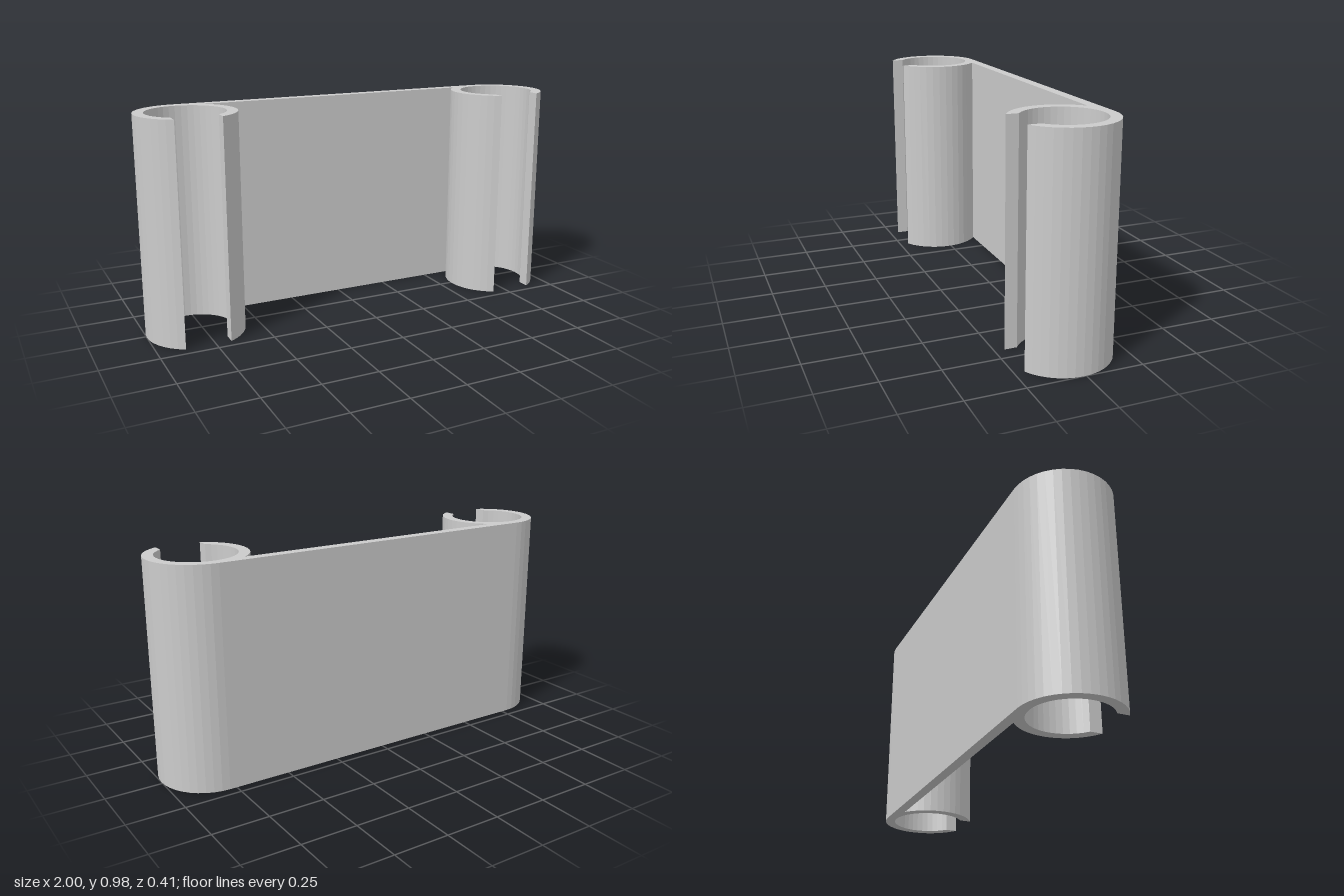
import * as THREE from 'three';

const HEIGHT = 0.975;
const OUTER = 0.219, INNER = 0.172;   // clip ring radii
const CX = 0.781, CZ = 0.012;         // clip ring centres
const GAP = 0.1;                      // half width of the clip opening
const SEGMENTS = 40;                  // facets per full circle

// Points along an arc of a clip ring (shape y is -z)
function arc(cx, radius, from, to) {
  const n = Math.max(2, Math.round(Math.abs(to - from) / (Math.PI * 2) * SEGMENTS));
  return Array.from({ length: n + 1 }, (_, i) => {
    const a = from + (to - from) * i / n;
    return new THREE.Vector2(cx + radius * Math.cos(a), -CZ + radius * Math.sin(a));
  });
}

export function createModel() {
  const group = new THREE.Group();
  group.name = 'doubleClip';

  const H = Math.PI / 2;
  const gapOut = Math.asin(GAP / OUTER);
  const gapIn = Math.asin(GAP / INNER);
  const join = Math.asin(INNER / OUTER);   // where a ring meets the plate's inner face

  // One continuous outline: two open rings bridged by the plate
  const outline = [
    ...arc(CX, OUTER, -H + gapOut, H),                // right end, outside
    ...arc(-CX, OUTER, H, 3 * H - gapOut),            // back of plate to left end
    ...arc(-CX, INNER, 3 * H - gapIn, -H + gapIn),    // left bore
    ...arc(-CX, OUTER, -H + gapOut, join),            // left inner jaw
    ...arc(CX, OUTER, Math.PI - join, 3 * H - gapOut), // front of plate to right inner jaw
    ...arc(CX, INNER, 3 * H - gapIn, -H + gapIn),     // right bore
  ];

  const geometry = new THREE.ExtrudeGeometry(new THREE.Shape(outline), {
    depth: HEIGHT, bevelEnabled: false, steps: 1,
  });
  geometry.rotateX(-H);

  const clip = new THREE.Mesh(
    geometry,
    new THREE.MeshStandardMaterial({ color: 0xcccccc, flatShading: true }),
  );
  clip.name = 'plateWithClips';
  group.add(clip);
  return group;
}
